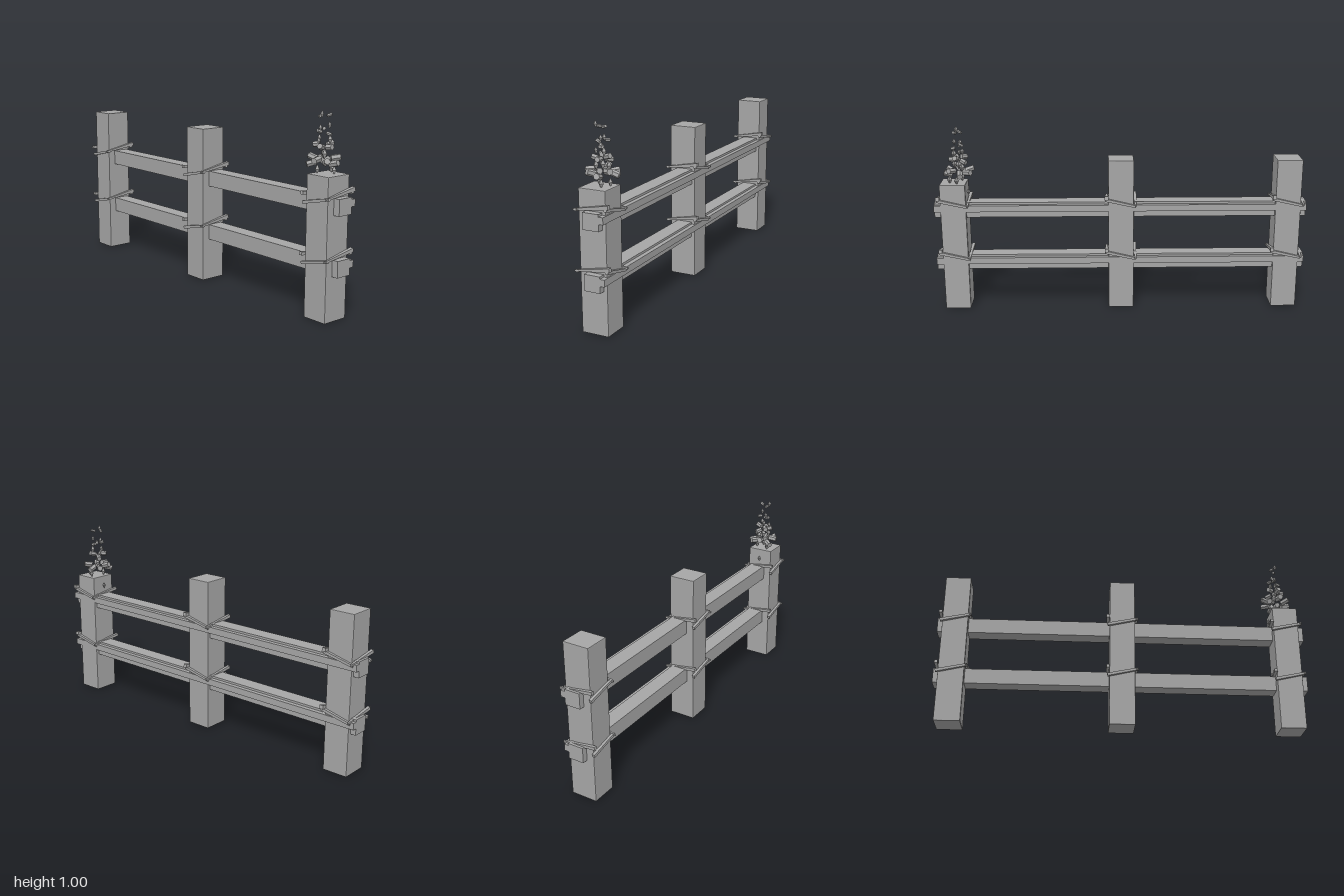
import * as THREE from 'three';
import { RoundedBoxGeometry } from 'three/addons/geometries/RoundedBoxGeometry.js';

const grey = new THREE.MeshStandardMaterial({ color: 0xa6a6a6 });

// faceted mesh: unshared corners give flat normals
function part(name, geometry, parent) {
  const geo = geometry.index ? geometry.toNonIndexed() : geometry;
  geo.computeVertexNormals();
  const mesh = new THREE.Mesh(geo, grey);
  mesh.name = name;
  parent.add(mesh);
  return mesh;
}

// tapered stick running from a to b, flat on the face it lies against
function stick(name, a, b, r0, r1, parent) {
  const from = new THREE.Vector3(...a), to = new THREE.Vector3(...b);
  const dir = to.clone().sub(from);
  const geo = new THREE.CylinderGeometry(r1, r0, dir.length(), 4);
  geo.rotateY(Math.PI / 4);
  const mesh = part(name, geo, parent);
  mesh.position.copy(from).add(to).multiplyScalar(0.5);
  mesh.quaternion.setFromUnitVectors(new THREE.Vector3(0, 1, 0), dir.normalize());
}

// four slanted sticks lashed round a post
function binding(x, y, parent) {
  const g = new THREE.Group();
  g.name = 'binding';
  g.position.set(x, y, 0);
  stick('frontTie', [-0.08, -0.035, 0.08], [0.085, 0.002, 0.08], 0.011, 0.009, g);
  stick('backTie', [-0.08, -0.02, -0.08], [0.085, 0.018, -0.08], 0.009, 0.011, g);
  stick('leftTie', [0.078, 0.0, 0.095], [0.078, 0.031, -0.095], 0.006, 0.014, g);
  stick('rightTie', [-0.078, 0.012, 0.093], [-0.078, -0.012, -0.095], 0.012, 0.007, g);
  parent.add(g);
}

function chunk(x, y, z, r, length, dir, parent) {
  const mesh = part('chunk', new THREE.CylinderGeometry(r, r, length, 6), parent);
  mesh.position.set(x, y, z);
  mesh.quaternion.setFromUnitVectors(new THREE.Vector3(0, 1, 0), new THREE.Vector3(...dir).normalize());
}

function shard(x, y, z, r, parent) {
  const mesh = part('shard', new THREE.OctahedronGeometry(r), parent);
  mesh.position.set(x, y, z);
  mesh.scale.y = 1.7;
}

export function createModel() {
  const fence = new THREE.Group();
  fence.name = 'fence';

  // posts, the last one broken short
  for (const [x, h] of [[-0.902, 0.833], [-0.002, 0.833], [0.897, 0.705]]) {
    part('post', new RoundedBoxGeometry(0.137, h, 0.144, 1, 0.004), fence).position.set(x, h / 2, 0);
    for (const y of [0.308, 0.603]) binding(x, y, fence);
  }

  // rails with a lip along the back
  for (const top of [0.308, 0.603]) {
    part('rail', new THREE.BoxGeometry(2, 0.082, 0.085), fence).position.set(0, top - 0.041, -0.0115);
    part('railLip', new THREE.BoxGeometry(2, 0.035, 0.024), fence).position.set(0, top - 0.029, -0.066);
  }

  // plume of rubble above the broken post
  const rubble = new THREE.Group();
  rubble.name = 'rubble';
  rubble.position.set(0.865, 0, 0);
  fence.add(rubble);

  // large and medium chunks fan outwards in rings: count, height, radius, chunk radius, length
  for (const [n, y, ring, r, len] of [[8, 0.765, 0.058, 0.016, 0.046], [5, 0.832, 0.034, 0.014, 0.034], [3, 0.903, 0.026, 0.009, 0.024]]) {
    for (let i = 0; i < n; i++) {
      const a = (i / n) * Math.PI * 2 + y * 9;
      const c = Math.cos(a), s = Math.sin(a);
      const lift = 0.012 * Math.sin(i * 2.4);
      chunk(c * ring, y + lift, s * ring, r, len, [c, 0.35 * Math.cos(i * 1.9), s], rubble);
    }
  }
  chunk(-0.01, 0.973, 0.02, 0.008, 0.022, [1, 0.3, 0.6], rubble);
  chunk(0.012, 0.977, -0.02, 0.008, 0.024, [0.4, 0.4, -1], rubble);

  // pointed shards between the chunks
  const shards = [
    [0.01, 0.985, 0.028, 0.011], [-0.01, 0.918, 0.015, 0.011], [0.015, 0.93, -0.02, 0.011],
    [-0.02, 0.87, 0.01, 0.012], [0.02, 0.865, -0.02, 0.014], [0, 0.86, 0.035, 0.011],
    [-0.02, 0.79, -0.02, 0.015], [0.025, 0.8, 0.02, 0.015], [0, 0.8, 0, 0.016],
    [-0.01, 0.725, 0.03, 0.014], [0.05, 0.722, -0.02, 0.014], [0.01, 0.722, -0.045, 0.013],
    [-0.045, 0.65, 0, 0.01],
  ];
  for (const s of shards) shard(...s, rubble);

  return fence;
}
